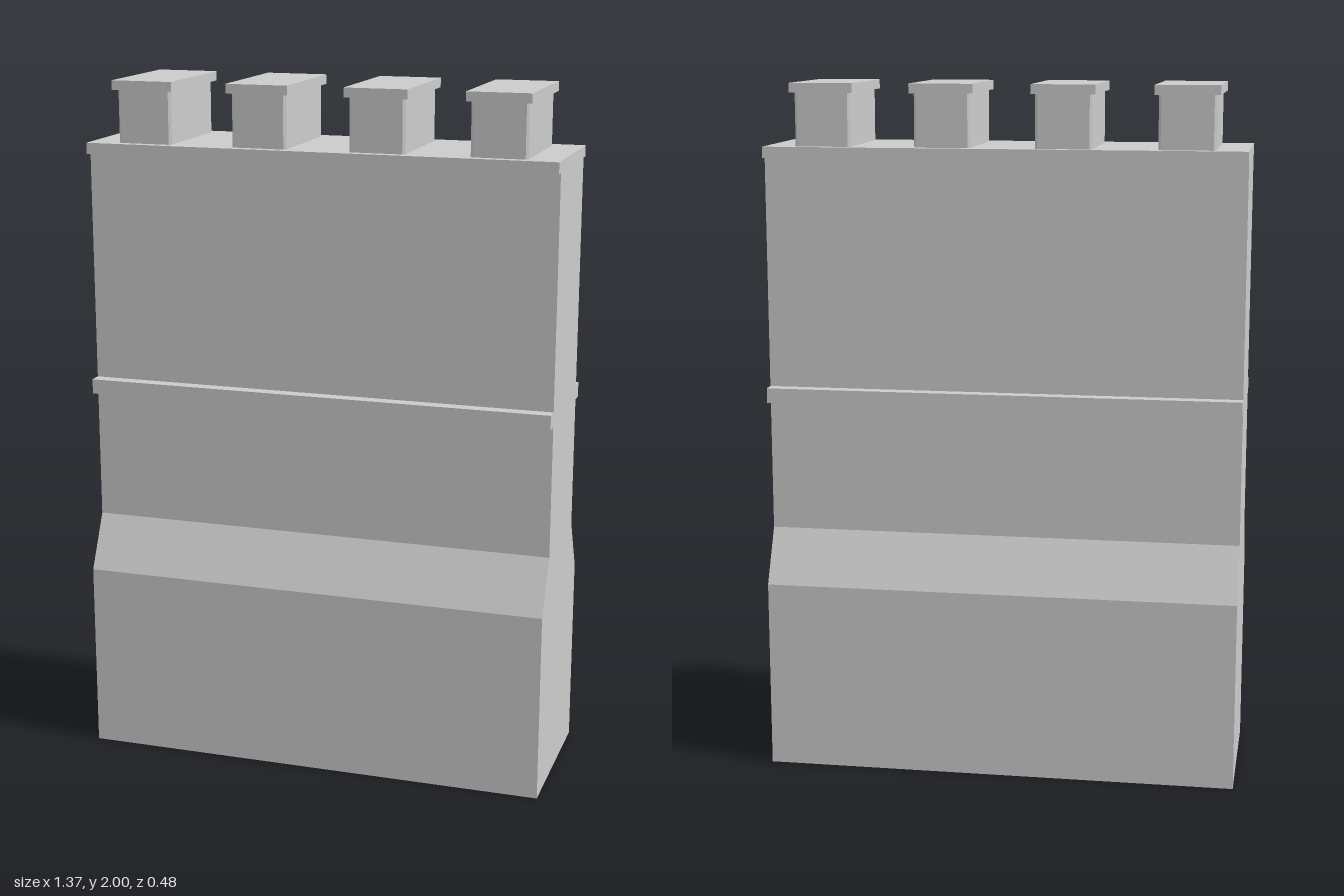
import * as THREE from 'three';

const WIDTH = 1.37;

export function createModel() {
  const model = new THREE.Group();
  const material = new THREE.MeshStandardMaterial({ color: 0xcccccc, flatShading: true });

  const add = (name, geometry, x, y, z, parent = model) => {
    const mesh = new THREE.Mesh(geometry, material);
    mesh.name = name;
    mesh.position.set(x, y, z);
    parent.add(mesh);
    return mesh;
  };
  const extrude = (points, depth) => new THREE.ExtrudeGeometry(
    new THREE.Shape(points.map(([x, y]) => new THREE.Vector2(x, y))),
    { depth, bevelEnabled: false });

  // Chimney stack: side profile with a wide base and sloped shoulders, run along x
  const half = [[0.24, 0], [0.24, 0.55], [0.162, 0.705], [0.162, 1.79]];
  const mirrored = half.map(([z, y]) => [-z, y]).reverse();
  const stack = extrude([...half, ...mirrored], WIDTH);
  stack.translate(0, 0, -WIDTH / 2).rotateY(Math.PI / 2);
  add('stack', stack, 0, 0, 0);

  // Projecting string course on the front and back
  for (const side of [1, -1]) {
    add(side > 0 ? 'frontBand' : 'backBand',
      new THREE.BoxGeometry(WIDTH, 0.043, 0.04), 0, 1.107, side * 0.18);
  }

  // Coping slab
  add('coping', new THREE.BoxGeometry(WIDTH, 0.032, 0.376), 0, 1.806, 0);

  // Four flues with finely chamfered corners and overhanging lids
  const w = 0.08, d = 0.162, c = 0.007;
  const flueShape = [[w, -d + c], [w, d - c], [w - c, d], [-w + c, d],
    [-w, d - c], [-w, -d + c], [-w + c, -d], [w - c, -d]];
  const flueBody = extrude(flueShape, 0.155).rotateX(-Math.PI / 2);
  const lid = new THREE.BoxGeometry(0.181, 0.027, 0.356);
  for (let i = 0; i < 4; i++) {
    const flue = new THREE.Group();
    flue.name = `flue${i + 1}`;
    flue.position.set(-0.515 + i * 0.3433, 1.82, 0);
    add('flueBody', flueBody, 0, 0, 0, flue);
    add('flueLid', lid, 0, 0.1665, 0, flue);
    model.add(flue);
  }
  return model;
}
